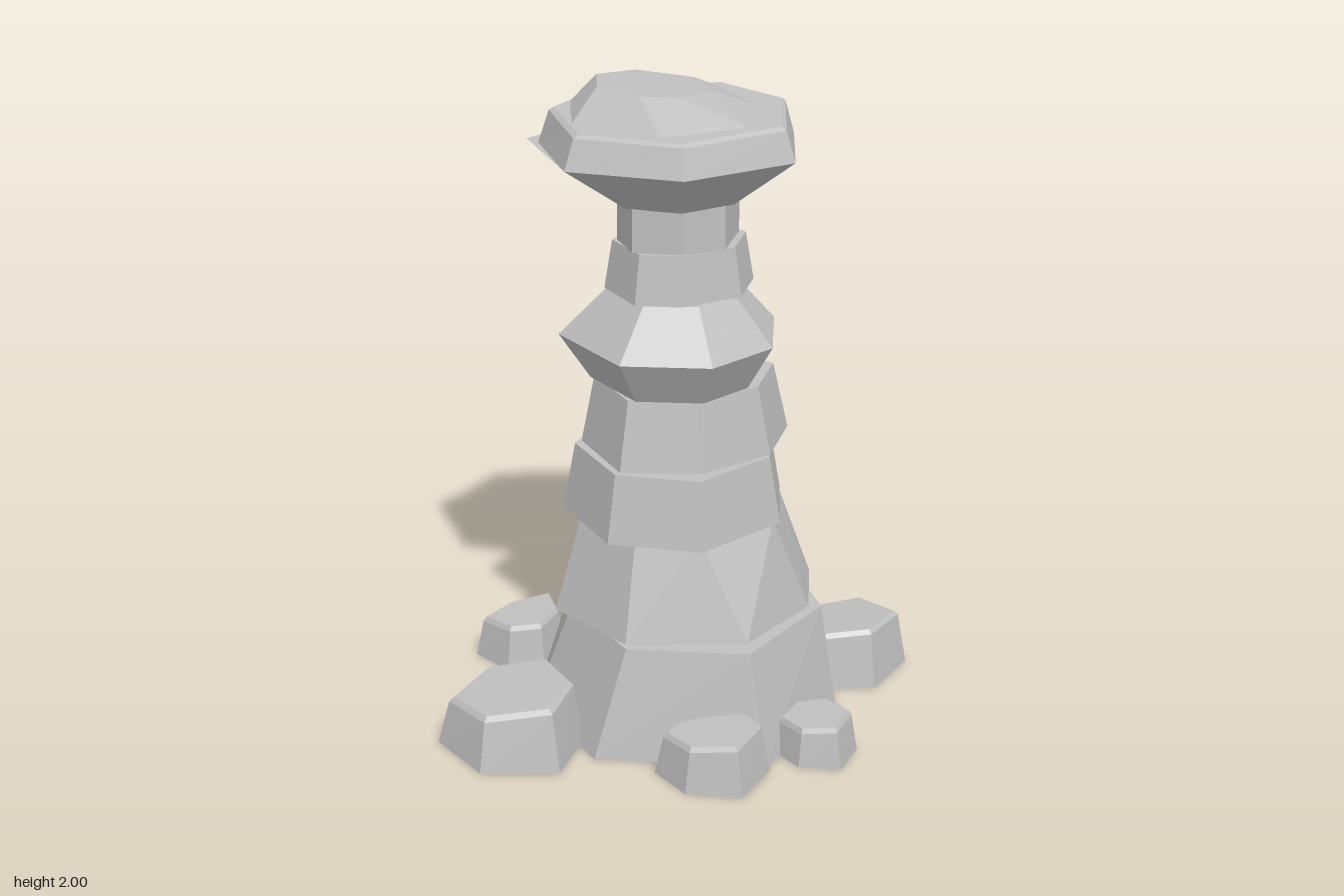
import * as THREE from 'three';

// Closed faceted loft through rings of [x, y, z] corners, bottom to top
function loft(rings) {
  const pos = [];
  const tri = (a, b, c) => pos.push(...a, ...b, ...c);
  const n = rings[0].length;
  const mid = r => [0, 1, 2].map(k => r.reduce((s, p) => s + p[k], 0) / n);
  const bottom = rings[0], top = rings[rings.length - 1];
  const cb = mid(bottom), ct = mid(top);
  for (let i = 0; i < n; i++) {
    const j = (i + 1) % n;
    for (let k = 0; k < rings.length - 1; k++) {
      const lo = rings[k], hi = rings[k + 1];
      tri(lo[i], hi[i], lo[j]);
      tri(lo[j], hi[i], hi[j]);
    }
    tri(cb, bottom[i], bottom[j]);
    tri(ct, top[j], top[i]);
  }
  const g = new THREE.BufferGeometry();
  g.setAttribute('position', new THREE.Float32BufferAttribute(pos, 3));
  g.computeVertexNormals();
  return g;
}

// Lift a flat [x, z] outline to a ring, scaled about a centre; y is a rule of (x, z)
function ring(outline, scale, y, [cx, cz] = [0, 0]) {
  return outline.map(([x, z]) => {
    const px = cx + (x - cx) * scale, pz = cz + (z - cz) * scale;
    return [px, typeof y === 'function' ? y(px, pz) : y, pz];
  });
}

export function createModel() {
  const group = new THREE.Group();
  const stone = new THREE.MeshStandardMaterial({ color: 0xc0c0c0 });
  stone.name = 'stone';
  stone.flatShading = true;
  const add = (name, rings) => {
    const mesh = new THREE.Mesh(loft(rings), stone);
    mesh.name = name;
    group.add(mesh);
  };

  // Flared foot of the pillar
  const foot = [[.49, .135], [.24, .49], [-.28, .42], [-.465, .05], [-.41, -.37], [.03, -.585], [.45, -.34]];
  const footTop = [[.44, .10], [.19, .425], [-.18, .37], [-.34, .05], [-.30, -.28], [.02, -.425], [.37, -.23]];
  add('foot', [ring(foot, 1, 0), ring(footTop, 1, .345)]);

  // Slightly twisted tier above the foot
  const lower = [[.43, -.17], [.4, .1], [.19, .35], [-.18, .34], [-.39, .08], [-.28, -.3], [.05, -.4]];
  const lowerTop = [[.32, -.12], [.28, .14], [.045, .275], [-.145, .25], [-.295, 0], [-.18, -.28], [.08, -.33]];
  add('lowerStratum', [ring(lower, 1, .345), ring(lowerTop, 1, .66)]);

  // Stacked strata: outline, then [scale, height] levels
  const strata = [
    ['secondStratum', [[.325, -.12], [.3, .165], [.05, .375], [-.23, .3], [-.36, 0], [-.2, -.33], [.12, -.375]],
      [[1, .66], [.89, .87]]],
    ['thirdStratum', [[.345, -.11], [.27, .13], [.05, .275], [-.19, .25], [-.3, -.02], [-.18, -.28], [.14, -.32]],
      [[1, .87], [.86, 1.085]]],
    ['bulgingStratum', [[.3, -.13], [.27, .165], [.08, .335], [-.19, .3], [-.365, 0], [-.18, -.3], [.12, -.335]],
      [[.74, 1.085], [1, 1.225], [.6, 1.37]]],
    ['lowerNeck', [[.23, -.07], [.18, .11], [0, .205], [-.14, .18], [-.225, 0], [-.12, -.19], [.1, -.225]],
      [[1, 1.37], [.89, 1.52]]],
    ['upperNeck', [[.185, -.07], [.13, .12], [0, .175], [-.145, .14], [-.185, 0], [-.1, -.17], [.08, -.2]],
      [[1, 1.52], [1, 1.65]]],
  ];
  for (const [name, outline, levels] of strata) {
    add(name, levels.map(([s, y]) => ring(outline, s, y)));
  }

  // Overhanging cap with a sloping underside and a bevelled rim
  const cap = [[.355, -.16], [.325, .2], [-.005, .385], [-.34, .26], [-.415, -.08], [-.23, -.365], [.165, -.37]];
  const under = cap.map(([x, z]) => x < -.4 ? [-.45, -.13] : [x, z]);
  add('capUnderside', [ring(under, .48, 1.65), ring(under, 1, 1.8)]);
  const rim = (x, z) => 1.908 - .03 * z;
  add('capSlab', [
    ring(cap, 1, 1.8),
    ring(cap, .92, (x, z) => rim(x, z) - .01),
    ring(cap, .88, rim),
  ]);

  // Lopsided crown stone
  const crown = [[.24, -.05], [.185, .21], [-.07, .31], [-.315, .13], [-.32, -.14], [-.21, -.3], [.14, -.32]];
  const crownTop = [[.09, 0], [0, .13], [-.12, .15], [-.24, .05], [-.24, -.1], [-.12, -.2], [.05, -.16]];
  add('crownStone', [
    ring(crown, 1, 1.908),
    ring(crownTop, 1, x => 1.978 - .09 * x),
  ]);

  // Boulders around the foot: outline, height at the middle, slope along x and z
  const boulders = [
    [[[-.308, .29], [-.385, .498], [-.625, .488], [-.757, .285], [-.625, .073], [-.4, .073]], .18, .13, 0],
    [[[-.362, -.32], [-.43, -.183], [-.55, -.188], [-.655, -.31], [-.55, -.422], [-.395, -.473]], .15, .1, 0],
    [[[-.003, -.575], [-.06, -.473], [-.2, -.453], [-.248, -.545], [-.19, -.682], [-.07, -.682]], .12, 0, .1],
    [[[.757, -.19], [.63, -.003], [.45, .002], [.42, -.18], [.45, -.342], [.635, -.387]], .172, .08, .1],
    [[[.525, .395], [.46, .522], [.335, .502], [.265, .39], [.335, .283], [.45, .278]], .124, .1, 0],
    [[[.247, .515], [.15, .677], [-.015, .642], [-.1, .51], [-.04, .438], [.18, .398]], .15, .1, 0],
  ];
  boulders.forEach(([outline, h, sx, sz], i) => {
    const c = [0, 1].map(k => outline.reduce((s, p) => s + p[k], 0) / outline.length);
    const top = (x, z) => h + sx * (x - c[0]) + sz * (z - c[1]);
    add('boulder' + (i + 1), [
      ring(outline, 1, 0, c),
      ring(outline, .85, (x, z) => top(x, z) - .015, c),
      ring(outline, .78, top, c),
    ]);
  });

  return group;
}
